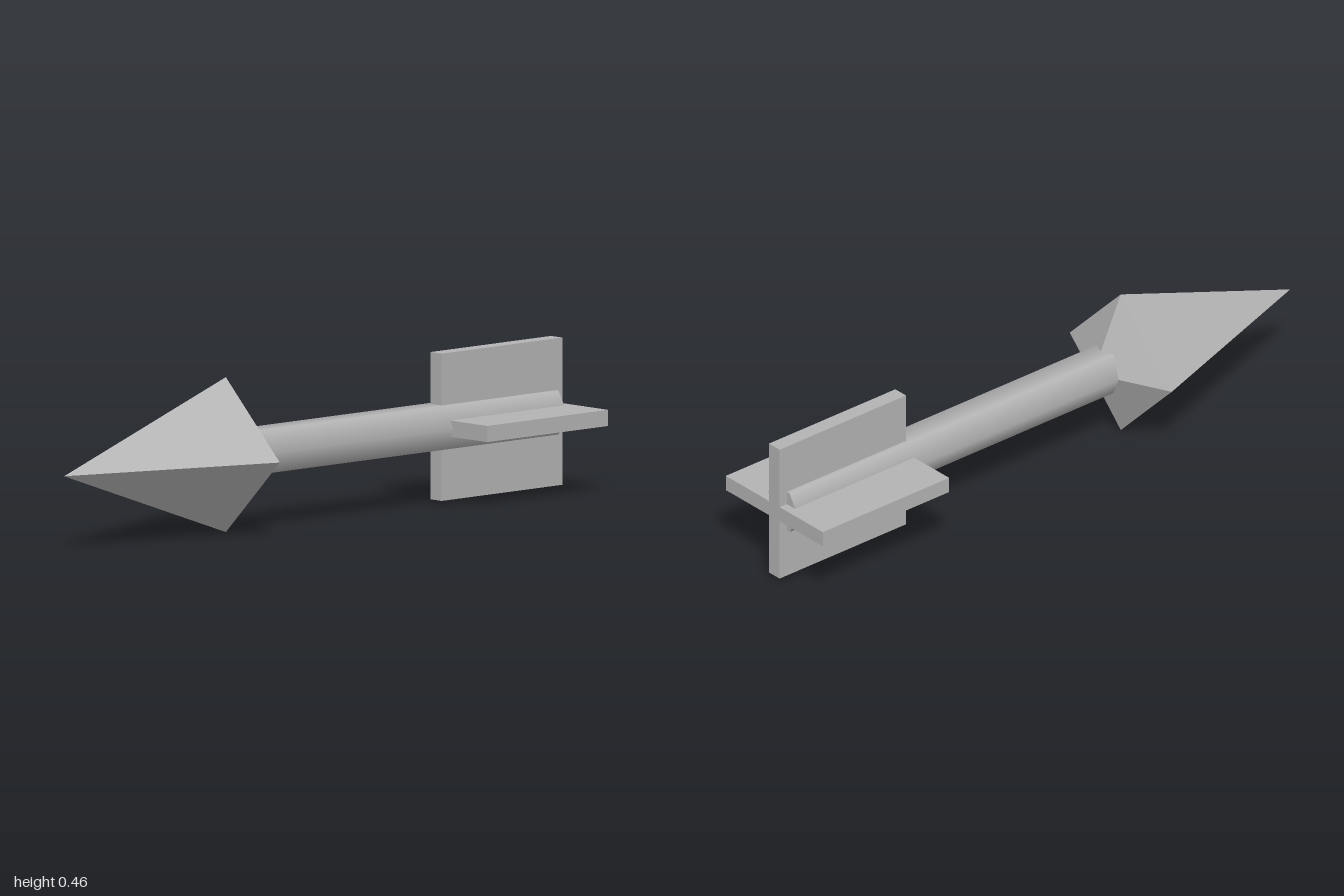
import * as THREE from 'three';

const AXIS_Y = 0.23; // height of the arrow's long axis

export function createModel() {
  const model = new THREE.Group();
  model.name = 'arrow';
  const grey = new THREE.MeshStandardMaterial({ color: 0xb2b2b2 });
  grey.name = 'grey';

  const add = (name, geometry, z) => {
    const mesh = new THREE.Mesh(geometry, grey);
    mesh.name = name;
    mesh.position.set(0, AXIS_Y, z);
    model.add(mesh);
  };

  // Four-sided pyramid with flat faces, pointing forward (1) or back (-1)
  const pyramid = (length, direction) => {
    const g = new THREE.ConeGeometry(0.23, length, 4, 1, true).toNonIndexed();
    g.rotateX(direction * Math.PI / 2);
    g.computeVertexNormals();
    return g;
  };

  // Head: long point in front, short taper behind, sharing one square rim
  const rim = 0.343, back = 0.235;
  add('headPoint', pyramid(1 - rim, 1), (1 + rim) / 2);
  add('headBack', pyramid(rim - back, -1), (rim + back) / 2);

  // Shaft: smooth six-sided rod with corners at the sides
  const shaftEnd = -0.972, shaftStart = 0.33;
  const shaft = new THREE.CylinderGeometry(0.075, 0.075, shaftStart - shaftEnd, 6, 1, false, Math.PI / 2);
  shaft.rotateX(Math.PI / 2);
  add('shaft', shaft, (shaftStart + shaftEnd) / 2);

  // Fins: two crossed plates at the tail
  add('verticalFin', new THREE.BoxGeometry(0.048, 0.437, 0.49), -0.755);
  add('horizontalFin', new THREE.BoxGeometry(0.437, 0.048, 0.49), -0.755);

  return model;
}
